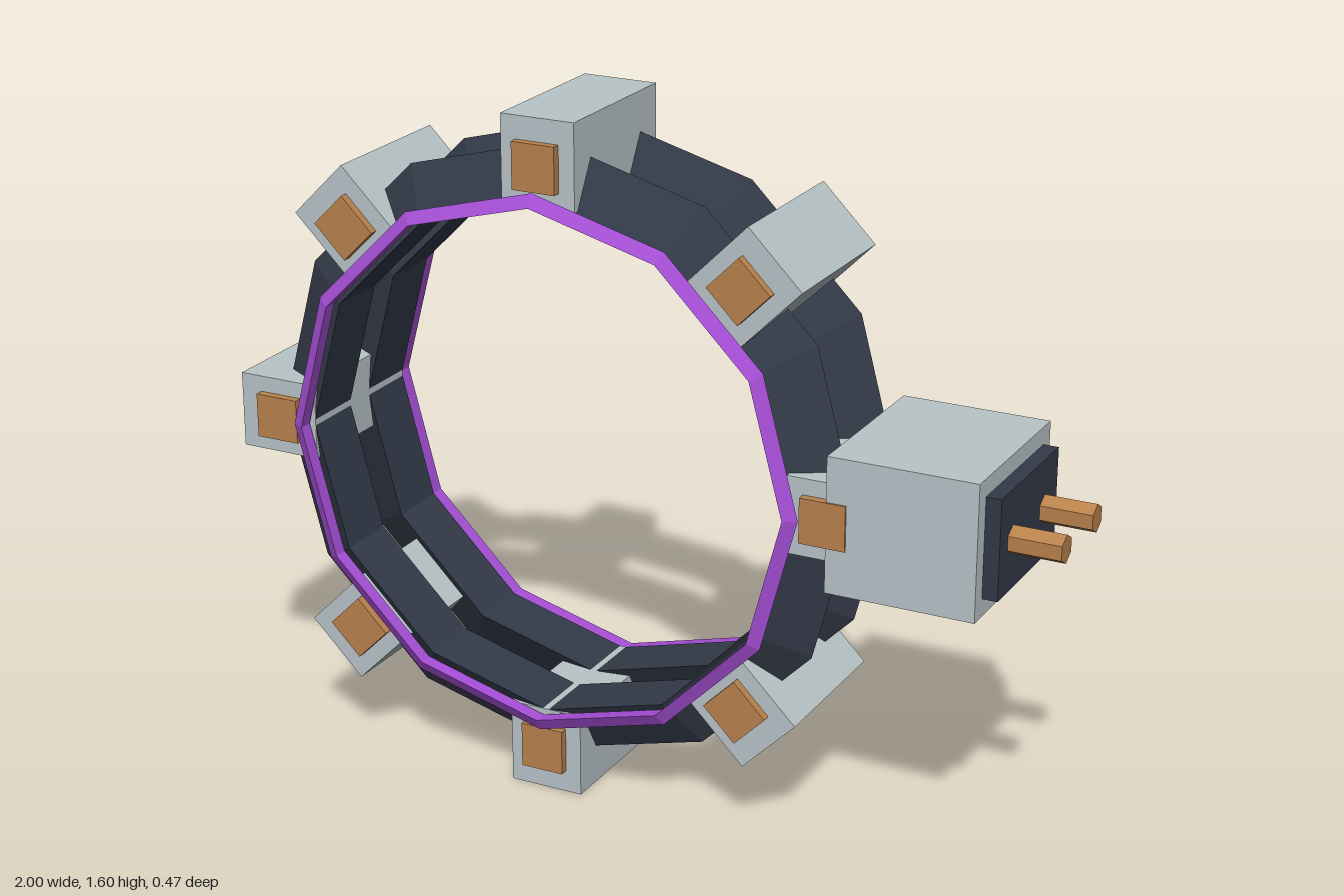
import * as THREE from 'three';

const material = (name, color) => {
  const m = new THREE.MeshStandardMaterial({ color, flatShading: true });
  m.name = name;
  return m;
};

export function createModel() {
  const grey = material('lightGrey', 0xb8c4c8);
  const dark = material('darkSlate', 0x333a48);
  const purple = material('purple', 0xa64fd6);
  const copper = material('copper', 0xb9824c);

  const model = new THREE.Group();
  model.name = 'ringGate';

  const add = (parent, name, geometry, mat, x, y, z) => {
    const mesh = new THREE.Mesh(geometry, mat);
    mesh.name = name;
    mesh.position.set(x, y, z);
    parent.add(mesh);
    return mesh;
  };
  const box = (w, h, d) => new THREE.BoxGeometry(w, h, d);

  const ring = new THREE.Group();
  ring.name = 'ring';
  ring.position.set(-0.2, 0.8, 0);
  model.add(ring);

  // Paired hoops with a triangular section, edged by thin bright hoops
  const hoop = new THREE.TorusGeometry(0.645, 0.086, 3, 12);
  const edge = new THREE.TorusGeometry(0.62, 0.02, 3, 12);
  for (const side of [1, -1]) {
    add(ring, 'hoop', hoop, dark, 0, 0, side * 0.115);
    add(ring, 'glowEdge', edge, purple, 0, 0, side * 0.217);
  }

  // Eight clamps around the ring, each with a front plate
  const clampBlock = box(0.2, 0.18, 0.38);
  const clampPlate = box(0.108, 0.105, 0.02);
  for (let i = 0; i < 8; i++) {
    const clamp = new THREE.Group();
    clamp.name = 'clamp';
    clamp.rotation.z = (i * Math.PI) / 4;
    ring.add(clamp);
    add(clamp, 'clampBlock', clampBlock, grey, 0.7, 0, 0);
    add(clamp, 'clampPlate', clampPlate, copper, 0.693, 0, 0.201);
  }

  // Connector housing on the side with two hexagonal pins
  const connector = new THREE.Group();
  connector.name = 'connector';
  connector.position.y = 0.8;
  model.add(connector);
  add(connector, 'housing', box(0.345, 0.315, 0.413), grey, 0.6725, 0, 0);
  add(connector, 'facePlate', box(0.045, 0.232, 0.336), dark, 0.8575, 0, 0);
  const pin = new THREE.CylinderGeometry(0.033, 0.033, 0.13, 6);
  pin.rotateY(Math.PI / 6).rotateZ(Math.PI / 2);
  for (const side of [1, -1]) {
    add(connector, 'pin', pin, copper, 0.935, 0, side * 0.094);
  }

  return model;
}
